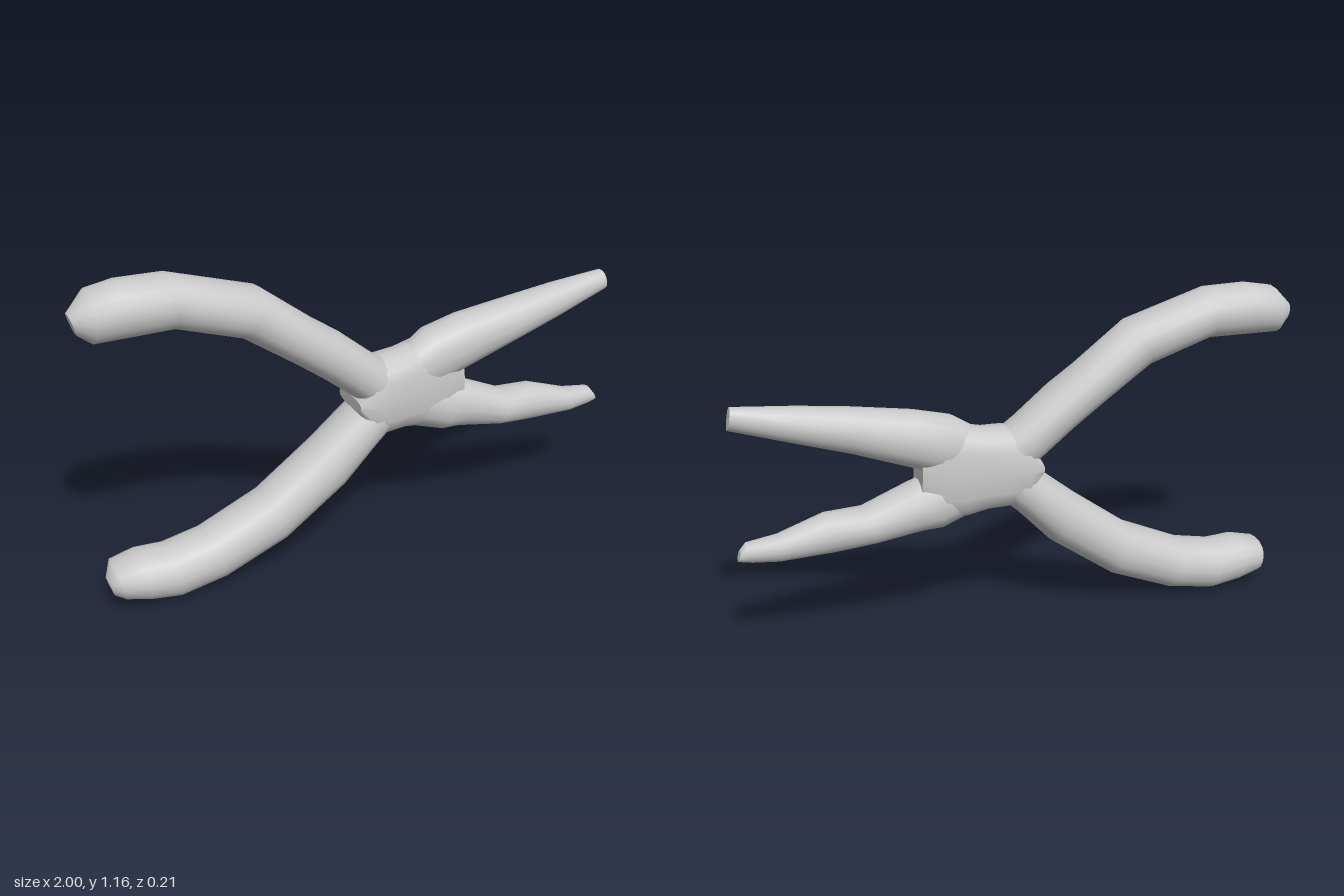
import * as THREE from 'three';

const SIDES = 16;
const material = new THREE.MeshStandardMaterial({ color: 0xcccccc });

// Skins a limb through cross-sections running towards +x.
// Section: [upper edge x, y, lower edge x, y, half depth, z offset]; power < 1 squares the section.
function loft(name, sections, power = 0.9) {
  const pos = [], index = [];
  const curve = (v) => Math.sign(v) * Math.abs(v) ** power;
  const addRing = ([ux, uy, lx, ly, depth, z = 0]) => {
    for (let j = 0; j < SIDES; j++) {
      const t = (j / SIDES) * Math.PI * 2;
      const c = curve(Math.cos(t)) / 2, s = curve(Math.sin(t));
      pos.push((ux + lx) / 2 + (ux - lx) * c, (uy + ly) / 2 + (uy - ly) * c, z + depth * s);
    }
  };
  sections.forEach(addRing);
  for (let i = 0; i < sections.length - 1; i++) {
    for (let j = 0; j < SIDES; j++) {
      const k = (j + 1) % SIDES, a = i * SIDES, b = a + SIDES;
      index.push(a + j, a + k, b + k, a + j, b + k, b + j);
    }
  }
  // Flat end caps with their own vertices, so the rim stays sharp
  [[sections[0], true], [sections[sections.length - 1], false]].forEach(([s, start]) => {
    const base = pos.length / 3;
    addRing(s);
    pos.push((s[0] + s[2]) / 2, (s[1] + s[3]) / 2, s[5] || 0);
    for (let j = 0; j < SIDES; j++) {
      const p = base + j, q = base + ((j + 1) % SIDES);
      index.push(base + SIDES, start ? q : p, start ? p : q);
    }
  });
  const geometry = new THREE.BufferGeometry();
  geometry.setAttribute('position', new THREE.Float32BufferAttribute(pos, 3));
  geometry.setIndex(index);
  geometry.computeVertexNormals();
  const mesh = new THREE.Mesh(geometry, material);
  mesh.name = name;
  return mesh;
}

export function createModel() {
  const group = new THREE.Group();
  group.name = 'pliers';

  // Curved grips with blunt rounded ends
  group.add(loft('upperHandle', [
    [-1.0, 1.08, -0.98, 1.01, 0.04],
    [-0.93, 1.145, -0.94, 0.98, 0.1],
    [-0.84, 1.16, -0.83, 0.98, 0.105],
    [-0.68, 1.155, -0.68, 0.98, 0.105],
    [-0.38, 1.06, -0.46, 0.905, 0.105],
    [-0.2, 0.92, -0.29, 0.785, 0.105],
    [-0.1, 0.85, -0.17, 0.695, 0.105],
    [0.02, 0.75, -0.06, 0.605, 0.104],
    [0.14, 0.67, 0.05, 0.5, 0.085],
  ]));
  group.add(loft('lowerHandle', [
    [-0.965, 0.11, -0.95, 0.055, 0.04],
    [-0.94, 0.165, -0.92, 0.045, 0.09],
    [-0.85, 0.185, -0.84, 0.02, 0.105],
    [-0.75, 0.18, -0.73, 0.0, 0.105],
    [-0.62, 0.205, -0.56, 0.03, 0.105],
    [-0.4, 0.3, -0.33, 0.12, 0.105],
    [-0.19, 0.45, -0.1, 0.28, 0.105],
    [-0.05, 0.56, 0.02, 0.405, 0.104],
    [0.08, 0.68, 0.16, 0.52, 0.085],
  ]));

  // Flattened pivot block where the two halves cross
  group.add(loft('pivot', [
    [-0.055, 0.6, -0.055, 0.555, 0.085],
    [0.0, 0.7, 0.0, 0.45, 0.102],
    [0.06, 0.725, 0.06, 0.44, 0.102],
    [0.14, 0.73, 0.14, 0.44, 0.095, -0.008],
    [0.22, 0.75, 0.22, 0.425, 0.091, -0.012],
    [0.3, 0.755, 0.3, 0.425, 0.088, -0.012],
    [0.37, 0.7, 0.38, 0.48, 0.065, -0.01],
  ], 0.7));

  // Tapering jaws with small flat tips
  group.add(loft('upperJaw', [
    [0.13, 0.71, 0.2, 0.56, 0.07],
    [0.25, 0.785, 0.29, 0.58, 0.092, -0.008],
    [0.38, 0.815, 0.4, 0.62, 0.094, -0.008],
    [0.6, 0.845, 0.6, 0.69, 0.083],
    [0.77, 0.865, 0.78, 0.745, 0.068],
    [0.98, 0.885, 0.995, 0.81, 0.035],
  ]));
  group.add(loft('lowerJaw', [
    [0.2, 0.62, 0.13, 0.45, 0.07],
    [0.33, 0.585, 0.3, 0.39, 0.092, -0.008],
    [0.41, 0.555, 0.37, 0.388, 0.094, -0.008],
    [0.57, 0.485, 0.53, 0.36, 0.086],
    [0.7, 0.48, 0.67, 0.345, 0.075],
    [0.86, 0.425, 0.86, 0.335, 0.053],
    [0.965, 0.41, 0.95, 0.342, 0.038],
    [0.985, 0.385, 0.995, 0.35, 0.025],
  ]));

  return group;
}
